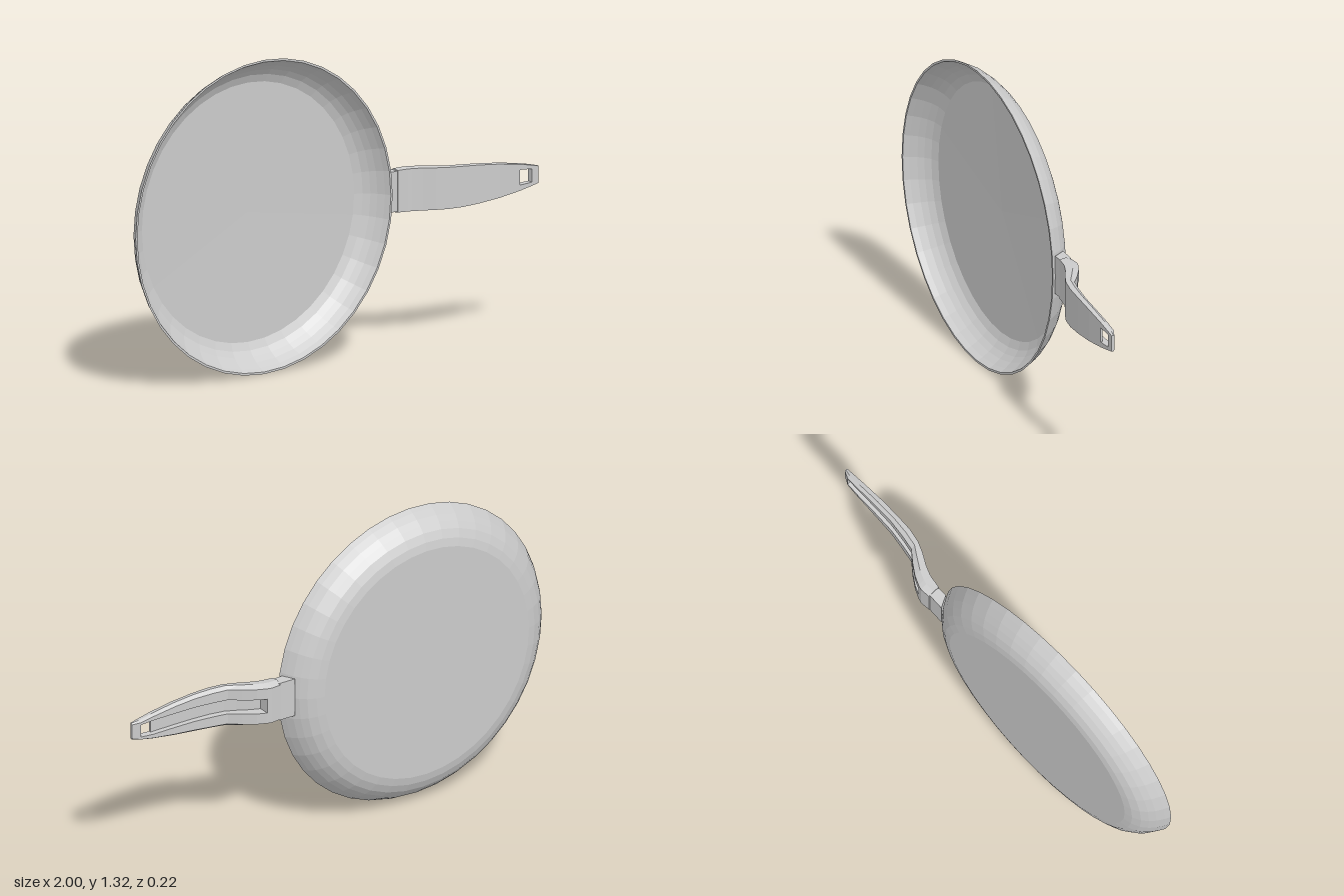
import * as THREE from 'three';

const CY = 0.667; // height of the handle's centre line

// Sections along the handle: x, half width, front z, back z, groove depth share (1 = right through)
const SECTIONS = [
  [0.355, 0.092, 0.003, -0.052, 0],
  [0.40, 0.093, 0.010, -0.055, 0],
  [0.42, 0.093, 0.015, -0.049, 0],
  [0.42, 0.093, 0.015, -0.049, 0.75],
  [0.46, 0.093, 0.032, -0.031, 0.75],
  [0.51, 0.092, 0.060, 0.003, 0.75],
  [0.555, 0.091, 0.080, 0.040, 0.7],
  [0.62, 0.089, 0.094, 0.053, 0.7],
  [0.70, 0.084, 0.100, 0.065, 0.7],
  [0.80, 0.074, 0.104, 0.070, 0.7],
  [0.905, 0.058, 0.105, 0.073, 0.7],
  [0.905, 0.058, 0.105, 0.073, 1],
  [0.967, 0.045, 0.105, 0.076, 1],
  [0.967, 0.045, 0.105, 0.076, 0],
  [1.0, 0.037, 0.105, 0.092, 0],
];

// Cross-section in (y, z) with a groove cut into the back
function ring([x, w, zf, zb, depth]) {
  const g = Math.min(0.032, w * 0.62);
  const zm = zb + (zf - zb) * 0.45;
  const zg = zb + (zf - zb) * depth;
  const half = [[g, zf], [w * 0.96, zf], [w, zm], [Math.max(w * 0.86, g + 0.003), zb], [g, zb], [g, zg]];
  const mirrored = half.map(([y, z]) => [-y, z]).reverse();
  return [...half, ...mirrored].map(([y, z]) => new THREE.Vector3(x, CY + y, z));
}

function handleGeometry() {
  const rings = SECTIONS.map(ring);
  const n = rings[0].length;
  const pos = [];
  const tri = (...pts) => pts.forEach((p) => pos.push(p.x, p.y, p.z));
  for (let i = 0; i < rings.length - 1; i++) {
    const a = rings[i], b = rings[i + 1];
    // the hanging hole leaves out the groove floor and the front strip
    const hole = SECTIONS[i][4] === 1 && SECTIONS[i + 1][4] === 1;
    for (let k = 0; k < n; k++) {
      if (hole && (k === 5 || k === n - 1)) continue;
      const m = (k + 1) % n;
      tri(a[k], b[k], b[m]);
      tri(a[k], b[m], a[m]);
    }
  }
  // end caps
  const first = rings[0], last = rings[rings.length - 1];
  for (let k = 1; k < n - 1; k++) {
    tri(first[0], first[k], first[k + 1]);
    tri(last[0], last[k + 1], last[k]);
  }
  const geo = new THREE.BufferGeometry();
  geo.setAttribute('position', new THREE.Float32BufferAttribute(pos, 3));
  geo.computeVertexNormals();
  return geo;
}

export function createModel() {
  const group = new THREE.Group();
  const mat = new THREE.MeshStandardMaterial({ color: 0xcccccc, flatShading: true });
  const add = (name, geo) => {
    const mesh = new THREE.Mesh(geo, mat);
    mesh.name = name;
    group.add(mesh);
    return mesh;
  };

  // Pan: back face, curved outer wall, thin rim, inner wall and floor
  const profile = [
    [0, -0.11], [0.515, -0.11], [0.55, -0.102], [0.585, -0.085], [0.61, -0.063],
    [0.63, -0.04], [0.648, -0.01], [0.66, 0.014],
    [0.651, 0.014], [0.639, -0.01], [0.621, -0.038], [0.602, -0.06],
    [0.578, -0.08], [0.545, -0.095], [0, -0.1],
  ].map(([r, z]) => new THREE.Vector2(r, z));
  const pan = add('pan', new THREE.LatheGeometry(profile, 40).rotateX(Math.PI / 2));
  pan.position.set(-0.34, 0.66, 0);

  // Bracket joining the sloped wall and the handle
  const outline = new THREE.Shape([
    [0.283, -0.052], [0.36, -0.048], [0.36, 0], [0.311, 0],
  ].map(([x, z]) => new THREE.Vector2(x, z)));
  const bracket = new THREE.ExtrudeGeometry(outline, { depth: 0.17, bevelEnabled: false });
  bracket.rotateX(Math.PI / 2).translate(0, CY + 0.085, 0);
  add('bracket', bracket);

  add('handle', handleGeometry());
  return group;
}
